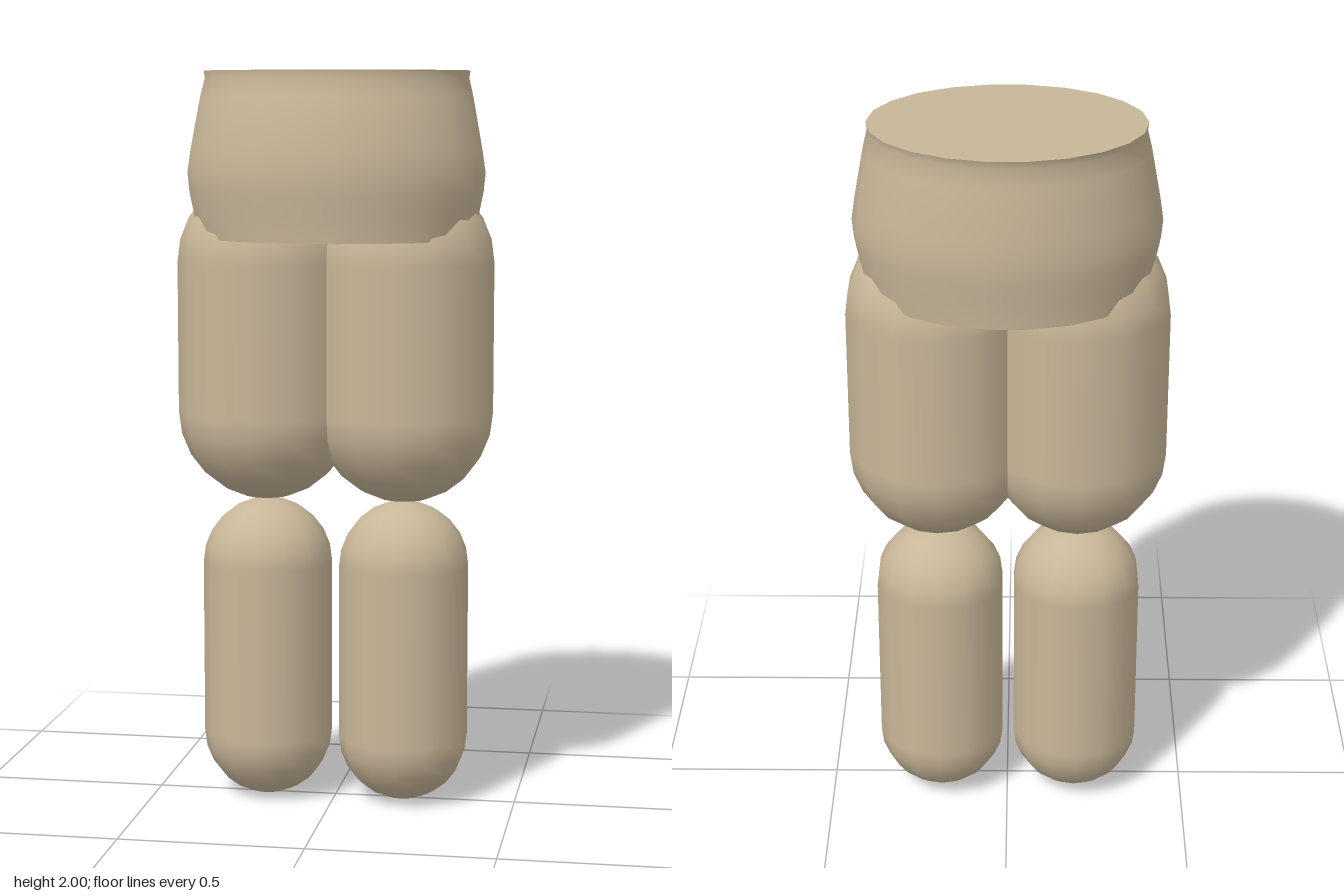
import * as THREE from 'three';
import { toCreasedNormals } from 'three/addons/utils/BufferGeometryUtils.js';

const skin = new THREE.MeshStandardMaterial({ color: 0xc8b698 });

// Oval waist: rings of [y, half width, half depth, z shift], closed at both ends
function pelvisGeometry() {
  const rings = [
    [1.555, 0, 0, 0],
    [1.555, 0.375, 0.313, 0],
    [1.62, 0.388, 0.318, 0],
    [1.68, 0.4, 0.327, 0],
    [1.73, 0.405, 0.33, 0],
    [1.79, 0.396, 0.326, 0],
    [1.86, 0.383, 0.316, -0.003],
    [1.93, 0.37, 0.305, -0.006],
    [1.98, 0.358, 0.292, -0.01],
    [2, 0.361, 0.297, -0.012],
    [2, 0, 0, -0.012],
  ];
  const profile = rings.map(([y, w]) => new THREE.Vector2(w, y));
  const geo = new THREE.LatheGeometry(profile, 22, Math.PI / 2);
  const pos = geo.attributes.position;
  for (let i = 0; i < pos.count; i++) {
    const [, w, d, shift] = rings[i % rings.length];
    pos.setZ(i, (w ? (pos.getZ(i) * d) / w : 0) + shift);
  }
  return toCreasedNormals(geo, 0.8);
}

// Upright capsule between two heights
function capsule(name, radius, bottom, top, x) {
  const geo = new THREE.CapsuleGeometry(radius, top - bottom - 2 * radius, 6, 14);
  geo.rotateY(Math.PI / 2);
  const mesh = new THREE.Mesh(geo, skin);
  mesh.name = name;
  mesh.position.set(x, (bottom + top) / 2, -0.007);
  return mesh;
}

export function createModel() {
  const model = new THREE.Group();
  model.name = 'lowerBody';

  const pelvis = new THREE.Mesh(pelvisGeometry(), skin);
  pelvis.name = 'pelvis';
  model.add(pelvis);

  // Legs: a thigh and a shin on each side
  for (const [side, s] of [['left', 1], ['right', -1]]) {
    const leg = new THREE.Group();
    leg.name = side + 'Leg';
    const x = s * 0.19 - 0.002;
    leg.add(capsule(side + 'Thigh', 0.243, 0.835, 1.73, x));
    leg.add(capsule(side + 'Shin', 0.178, 0, 0.835, x));
    model.add(leg);
  }
  return model;
}
